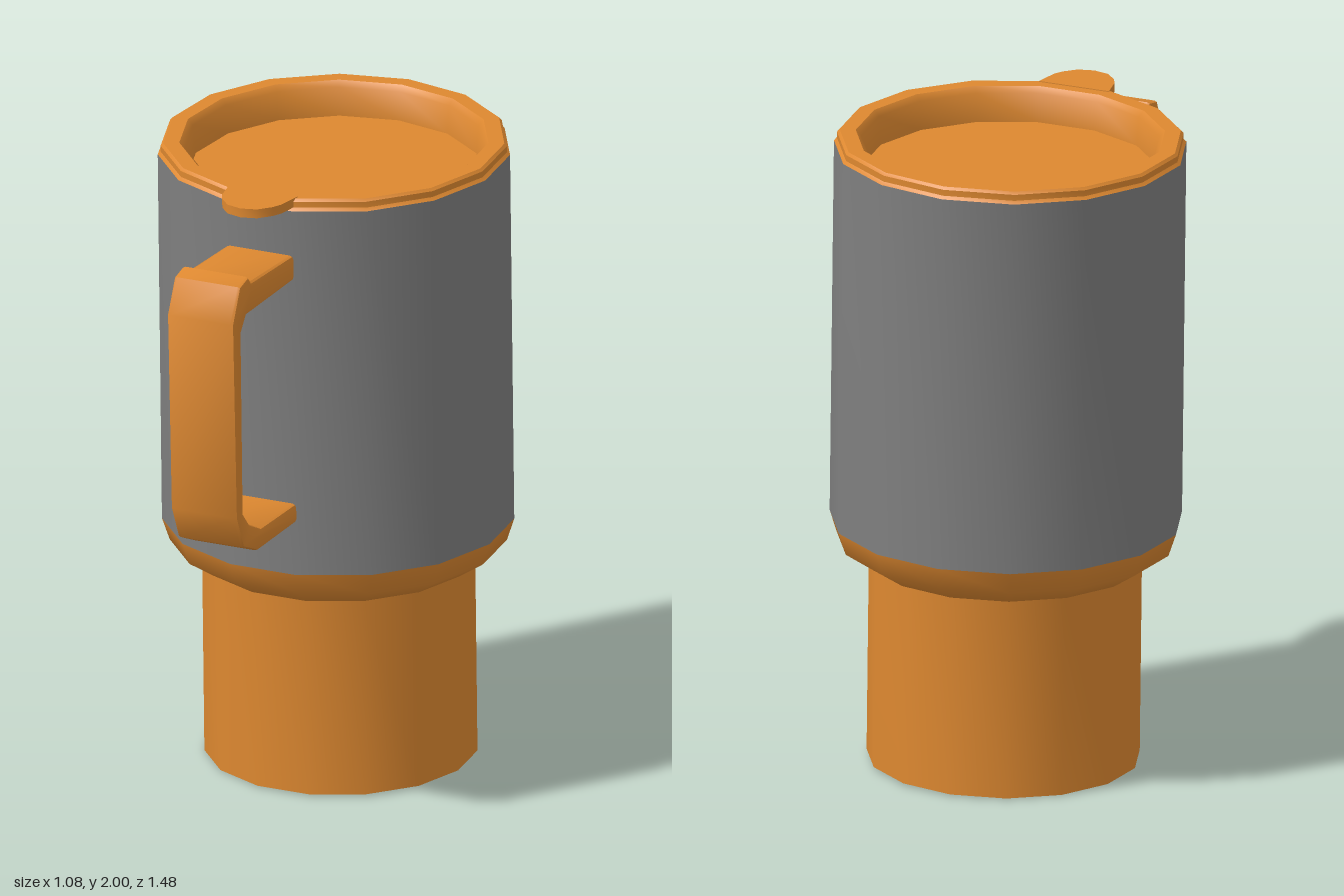
import * as THREE from 'three';
import { toCreasedNormals } from 'three/addons/utils/BufferGeometryUtils.js';

const SIDES = 15;
const CENTRE_Z = -0.207;

export function createModel() {
  const orange = new THREE.MeshStandardMaterial({ color: 0xdd8830 });
  orange.name = 'orange';
  const grey = new THREE.MeshStandardMaterial({ color: 0x7f7f7f });
  grey.name = 'grey';

  const model = new THREE.Group();
  model.name = 'travelMug';
  const mug = new THREE.Group();
  mug.name = 'mug';
  model.add(mug);

  function add(name, geometry, material) {
    const mesh = new THREE.Mesh(toCreasedNormals(geometry, 0.75), material);
    mesh.name = name;
    mug.add(mesh);
    return mesh;
  }

  // Turned part with a corner at the back and a flat side at the handle
  function turned(name, profile, material) {
    const points = profile.map(([r, y]) => new THREE.Vector2(r, y));
    const geometry = new THREE.LatheGeometry(points, SIDES, Math.PI);
    add(name, geometry, material).position.z = CENTRE_Z;
  }

  const outline = (points) => new THREE.Shape(points.map(([a, b]) => new THREE.Vector2(a, b)));

  // Narrow foot and the flared collar above it
  turned('foot', [[0, 0.008], [0.417, 0.008], [0.417, 0.645]], orange);
  turned('collar', [[0.41, 0.642], [0.432, 0.645], [0.515, 0.7], [0.538, 0.77]], orange);

  // Grey sleeve
  turned('sleeve', [[0.538, 0.77], [0.538, 1.957]], grey);

  // Lid: shoulder, raised rim and sunken floor
  turned('lid', [
    [0.538, 1.957], [0.529, 1.966], [0.529, 1.985], [0.521, 1.993],
    [0.472, 1.993], [0.456, 1.975], [0.448, 1.885], [0, 1.885],
  ], orange);

  // Thumb tab at the front of the lid
  const tab = new THREE.ExtrudeGeometry(outline([
    [-0.115, -0.29], [0.115, -0.29], [0.1, -0.37], [0.085, -0.4],
    [0.05, -0.437], [0, -0.45], [-0.05, -0.437], [-0.085, -0.4], [-0.1, -0.37],
  ].reverse()), { depth: 0.029, bevelEnabled: false });
  tab.rotateX(-Math.PI / 2);
  add('thumbTab', tab, orange).position.y = 1.967;

  // Handle: side outline (z, y) extruded across x
  const bevel = 0.012;
  const width = 0.226;
  const handle = new THREE.ExtrudeGeometry(outline([
    [0.26, 0.94], [0.584, 0.945], [0.68, 0.99], [0.727, 1.1], [0.738, 1.735],
    [0.685, 1.84], [0.626, 1.853], [0.605, 1.828], [0.26, 1.808],
    [0.26, 1.73], [0.643, 1.735], [0.68, 1.69], [0.68, 1.1],
    [0.637, 1.05], [0.557, 1.01], [0.26, 1.0],
  ]), {
    depth: width - 2 * bevel, bevelEnabled: true, bevelSize: bevel,
    bevelOffset: -bevel, bevelThickness: bevel, bevelSegments: 2,
  });
  handle.translate(0, 0, bevel - width / 2);
  handle.rotateY(-Math.PI / 2);
  add('handle', handle, orange);

  // The whole mug leans very slightly
  mug.rotation.z = 0.012;
  mug.position.x = 0.014;
  return model;
}
